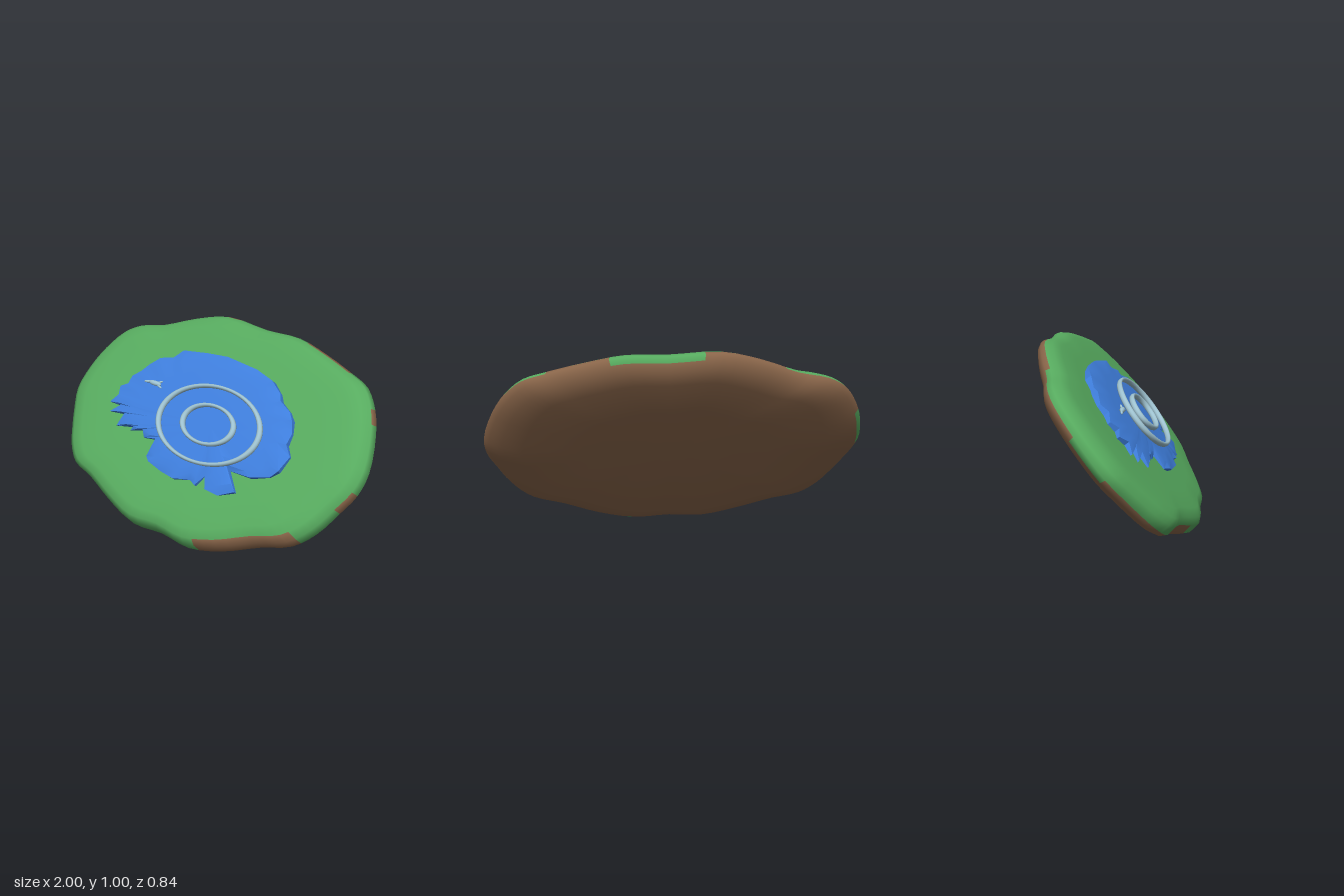
import * as THREE from 'three';
import { toCreasedNormals } from 'three/addons/utils/BufferGeometryUtils.js';

const TILT = 0.899; // the whole disc leans back about x

// Loft rings of an outline [x, v] around a centre; profile rows are [scale, height], bottom to top.
// pick(row, angleInDegrees) chooses the material index of each quad.
function loft(outline, profile, cx, height, pick) {
  const n = outline.length, pos = [], faces = [[], []];
  profile.forEach(([s, h], j) => outline.forEach(([x, v], i) => {
    const px = cx + (x - cx) * s, pv = v * s;
    pos.push(px, height(h, pv, i, j), -pv);
  }));
  for (let j = 0; j < profile.length - 1; j++) {
    for (let i = 0; i < n; i++) {
      const k = (i + 1) % n;
      const a = j * n + i, b = j * n + k, c = b + n, d = a + n;
      const deg = THREE.MathUtils.radToDeg(Math.atan2(outline[i][1], outline[i][0]));
      faces[pick(j, deg)].push(a, b, c, a, c, d);
    }
  }
  const g = new THREE.BufferGeometry();
  g.setAttribute('position', new THREE.Float32BufferAttribute(pos, 3));
  g.setIndex([...faces[0], ...faces[1]]);
  g.addGroup(0, faces[0].length, 0);
  g.addGroup(faces[0].length, faces[1].length, 1);
  g.computeVertexNormals();
  return g;
}

export function createModel() {
  const mat = (name, color) => {
    const m = new THREE.MeshStandardMaterial({ color });
    m.name = name;
    return m;
  };
  const grass = mat('grass green', 0x57ab5f);
  const soil = mat('soil brown', 0x8a664a);
  const water = mat('water blue', 0x3f7fde);
  const ripple = mat('ripple pale blue', 0x9fc3d1);

  const model = new THREE.Group();
  const disc = new THREE.Group();
  disc.name = 'tiltedIsland';
  disc.rotation.x = TILT;
  model.add(disc);
  const add = (name, geometry, material, parent = disc) => {
    const m = new THREE.Mesh(geometry, material);
    m.name = name;
    parent.add(m);
    return m;
  };

  // Island: wavy rim, flat brown underside, green top
  const rim = [
    [1, 0.04], [0.95, 0.23], [0.89, 0.35], [0.8, 0.45], [0.68, 0.5], [0.5, 0.56], [0.3, 0.61],
    [0.08, 0.61], [-0.2, 0.63], [-0.4, 0.575], [-0.6, 0.49], [-0.76, 0.45], [-0.86, 0.385],
    [-0.94, 0.26], [-0.985, 0.13], [-1, -0.02], [-0.95, -0.15], [-0.9, -0.25], [-0.84, -0.35],
    [-0.75, -0.435], [-0.6, -0.48], [-0.4, -0.56], [-0.2, -0.62], [0, -0.61], [0.2, -0.625],
    [0.4, -0.575], [0.6, -0.485], [0.77, -0.42], [0.87, -0.32], [0.94, -0.19], [0.99, -0.08],
  ];
  const curve = new THREE.CatmullRomCurve3(rim.map(([x, v]) => new THREE.Vector3(x, v, 0)), true);
  const outline = curve.getPoints(93).slice(0, -1).map(p => [p.x, p.y]);
  const profile = [
    [0, -0.086], [0.5, -0.086], [0.8, -0.083], [0.91, -0.064], [0.975, -0.032], [1, 0],
    [0.987, 0.038], [0.945, 0.068], [0.87, 0.084], [0.7, 0.087], [0.35, 0.087], [0, 0.087],
  ];
  // Row at which grass starts, by angle range round the rim
  const grassStart = [
    [-148, -130, 6], [-108, -72, 3], [-68, -27, 7], [-12, -5, 6], [14, 20, 6],
    [35, 58, 6], [58, 98, 4], [98, 135, 6], [165, 180, 4],
  ];
  const island = loft(outline, profile, 0,
    (h, v) => h - (h > 0.03 ? 0.03 * v : 0),
    (row, deg) => {
      const r = grassStart.find(([a, b]) => deg >= a && deg < b);
      return row >= (r ? r[2] : 5) ? 0 : 1;
    });
  add('island', island, [grass, soil]);

  // Pond: thin sheet with a torn, pleated edge
  const shore = [
    [0.61, 0.55], [0.57, 0.59], [0.565, 0.64], [0.54, 0.69], [0.5, 0.72], [0.43, 0.75], [0.4, 0.78],
    [0.33, 0.82], [0.2, 0.85], [0, 0.865], [-0.15, 0.86], [-0.3, 0.84], [-0.36, 0.8], [-0.43, 0.78],
    [-0.5, 0.74], [-0.52, 0.7], [-0.58, 0.67], [-0.57, 0.63], [-0.63, 0.61], [-0.6, 0.57],
    [-0.65, 0.53], [-0.55, 0.53], [-0.62, 0.49], [-0.5, 0.5], [-0.53, 0.44], [-0.4, 0.46],
    [-0.42, 0.44], [-0.33, 0.46], [-0.31, 0.43], [-0.22, 0.44], [-0.24, 0.36], [-0.2, 0.34],
    [-0.1, 0.32], [0, 0.31], [0.1, 0.33], [0.15, 0.315], [0.18, 0.37], [0.22, 0.315], [0.3, 0.31],
    [0.4, 0.345], [0.31, 0.42], [0.45, 0.42], [0.55, 0.45], [0.59, 0.48],
  ].map(([x, y]) => [x, (y - 0.568) / 0.783]);
  const pond = loft(shore,
    [[1, 0.07], [1, 0.108], [0.88, 0.118], [0.7, 0.121], [0, 0.122]], 0.085,
    (h, v, i, j) => h + (j === 1 ? (i % 2 ? 0.008 : -0.008) : 0),
    () => 0);
  pond.clearGroups();
  add('pond', toCreasedNormals(pond, 0.5), water);

  // Two oval ripples on the water
  [['outerRipple', 0.333], ['innerRipple', 0.167]].forEach(([name, r]) => {
    const ring = add(name, new THREE.TorusGeometry(r, 0.016, 10, 64), ripple);
    ring.rotation.x = -Math.PI / 2;
    ring.scale.y = 0.625;
    ring.position.set(0.088, 0.145, 0.006);
  });

  // Small fish-like splash: flattened body, tail and fins
  const splash = new THREE.Group();
  splash.name = 'splash';
  splash.position.set(-0.37, 0.143, -0.12);
  disc.add(splash);
  const blob = (name, x, z, sx, sy, sz, turn) => {
    const m = add(name, new THREE.SphereGeometry(1, 12, 8), ripple, splash);
    m.position.set(x, 0, z);
    m.scale.set(sx, sy, sz);
    m.rotation.y = turn;
  };
  blob('splashBody', 0.005, 0, 0.045, 0.013, 0.014, 0);
  blob('splashTail', -0.05, 0.002, 0.024, 0.006, 0.007, 0.2);
  blob('splashFinUpper', 0.035, -0.012, 0.02, 0.006, 0.006, 0.5);
  blob('splashFinLower', 0.04, 0.01, 0.024, 0.006, 0.006, -0.3);

  // Stand on the ground and centre
  const box = new THREE.Box3().setFromObject(model, true);
  const c = box.getCenter(new THREE.Vector3());
  disc.position.set(-c.x, -box.min.y, -c.z);
  return model;
}
